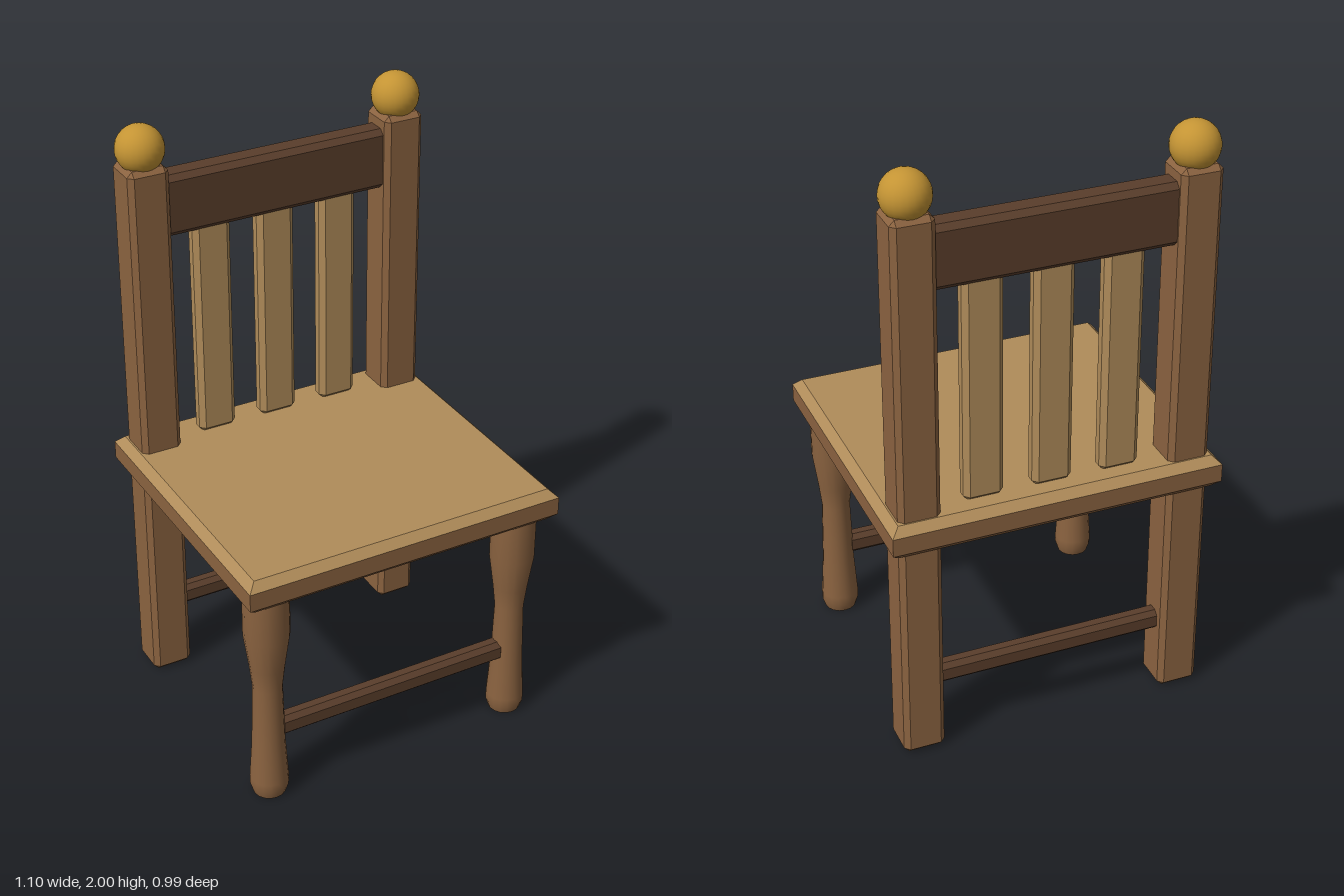
import * as THREE from 'three';
import { ConvexGeometry } from 'three/addons/geometries/ConvexGeometry.js';

const mat = (name, color) => {
  const m = new THREE.MeshStandardMaterial({ color });
  m.name = name;
  return m;
};

// Box with every edge chamfered by c, centred on its origin
function chamferBox(w, h, d, c) {
  const points = [];
  for (const x of [-1, 1]) for (const y of [-1, 1]) for (const z of [-1, 1]) {
    for (let axis = 0; axis < 3; axis++) {
      const inset = [c, c, c];
      inset[axis] = 0;
      points.push(new THREE.Vector3(x * (w / 2 - inset[0]), y * (h / 2 - inset[1]), z * (d / 2 - inset[2])));
    }
  }
  return new ConvexGeometry(points);
}

// Slab with bevelled rims and square corners; groups: 0 top, 1 sides and underside
function seatSlab(w, d, y0, y1, c) {
  const points = [];
  for (const [y, inset] of [[y0, c], [y0 + c, 0], [y1 - c, 0], [y1, c]]) {
    for (const x of [-1, 1]) for (const z of [-1, 1]) {
      points.push(new THREE.Vector3(x * (w / 2 - inset), y, z * (d / 2 - inset)));
    }
  }
  const geometry = new ConvexGeometry(points);
  const normal = geometry.attributes.normal;
  for (let i = 0; i < normal.count; i += 3) geometry.addGroup(i, 3, normal.getY(i) > 0.3 ? 0 : 1);
  return geometry;
}

export function createModel() {
  const model = new THREE.Group();
  model.name = 'chair';
  const tan = mat('tan wood', 0xb08c5a);
  const brown = mat('brown wood', 0x8b6340);
  const dark = mat('dark wood', 0x5a3e2b);
  const gold = mat('gold', 0xc49434);

  const add = (name, geometry, material, x = 0, y = 0, z = 0) => {
    const mesh = new THREE.Mesh(geometry, material);
    mesh.name = name;
    mesh.position.set(x, y, z);
    model.add(mesh);
  };

  const legX = 0.447, backZ = -0.395, frontZ = 0.396;

  add('seat', seatSlab(1.096, 0.99, 0.77, 0.885, 0.027), [tan, brown]);

  // Turned front leg profile, with a flat foot
  const profile = [
    [0.053, 0], [0.063, 0.03], [0.063, 0.06], [0.054, 0.2], [0.048, 0.42],
    [0.057, 0.5], [0.074, 0.62], [0.074, 0.78],
  ].map(([r, y]) => new THREE.Vector2(r, y));
  const legGeometry = new THREE.LatheGeometry(profile, 16);
  const footGeometry = new THREE.CircleGeometry(0.053, 16).rotateX(Math.PI / 2);
  const postGeometry = chamferBox(0.137, 1.875, 0.137, 0.017);
  const ballGeometry = new THREE.SphereGeometry(0.078, 24, 16);

  for (const [side, s] of [['left', 1], ['right', -1]]) {
    add(`${side}FrontLeg`, legGeometry, brown, s * legX, 0, frontZ);
    add(`${side}FrontFoot`, footGeometry, brown, s * legX, 0, frontZ);
    add(`${side}BackPost`, postGeometry, brown, s * legX, 0.9375, backZ);
    add(`${side}Finial`, ballGeometry, gold, s * legX, 1.922, backZ);
  }

  // Backrest
  add('topRail', chamferBox(0.8, 0.205, 0.092, 0.018), dark, 0, 1.726, backZ);
  const slatGeometry = chamferBox(0.13, 0.78, 0.06, 0.017);
  for (const i of [-1, 0, 1]) add('backSlat', slatGeometry, tan, i * 0.225, 1.27, backZ);

  // Stretchers between the legs
  const stretcherGeometry = chamferBox(0.84, 0.072, 0.06, 0.016);
  add('frontStretcher', stretcherGeometry, dark, 0, 0.25, frontZ);
  add('backStretcher', stretcherGeometry, dark, 0, 0.25, backZ);

  return model;
}
